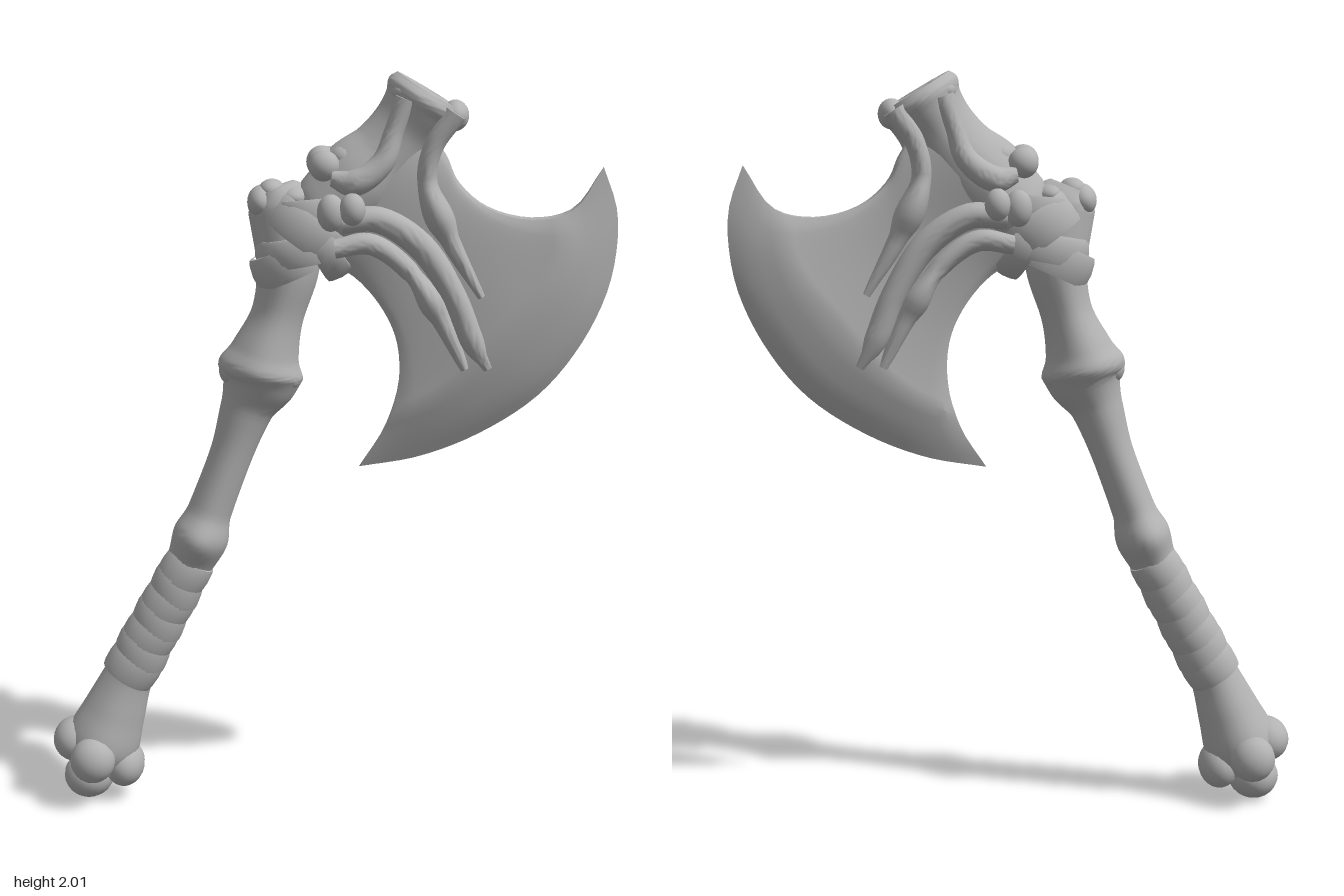
import * as THREE from 'three';
import { toCreasedNormals } from 'three/addons/utils/BufferGeometryUtils.js';

const bone = new THREE.MeshStandardMaterial({ color: 0xb2b2b2 });
bone.name = 'bone grey';

// Closed skin over a list of rings with equal point counts
function skin(rings, crease, caps = true) {
  const n = rings[0].length, pos = [], idx = [];
  rings.forEach(r => r.forEach(p => pos.push(...p)));
  for (let i = 0; i < rings.length - 1; i++) {
    for (let j = 0; j < n; j++) {
      const a = i * n + j, b = i * n + (j + 1) % n;
      idx.push(a, a + n, b, b, a + n, b + n);
    }
  }
  if (caps) [0, rings.length - 1].forEach((i, end) => {
    const c = pos.length / 3, m = [0, 0, 0];
    rings[i].forEach(p => p.forEach((v, k) => { m[k] += v / n; }));
    pos.push(...m);
    for (let j = 0; j < n; j++) {
      const a = i * n + j, b = i * n + (j + 1) % n;
      if (end) idx.push(c, b, a); else idx.push(c, a, b);
    }
  });
  const g = new THREE.BufferGeometry();
  g.setAttribute('position', new THREE.Float32BufferAttribute(pos, 3));
  g.setIndex(idx);
  return toCreasedNormals(g, crease);
}

// Smooth limb through sections [x, y, half width, half depth, z]
function limb(sections, steps = 40, lobes = 0) {
  const mid = new THREE.CatmullRomCurve3(sections.map(s => new THREE.Vector3(s[0], s[1], s[4] || 0)));
  const size = new THREE.CatmullRomCurve3(sections.map(s => new THREE.Vector3(s[2], s[3], 0)));
  const rings = [];
  for (let i = 0; i <= steps; i++) {
    const c = mid.getPoint(i / steps), t = mid.getTangent(i / steps), r = size.getPoint(i / steps);
    const l = Math.hypot(t.x, t.y), nx = t.y / l, ny = -t.x / l;
    rings.push(Array.from({ length: 24 }, (_, j) => {
      const q = j / 24 * Math.PI * 2, k = 1 + lobes * Math.cos(4 * q);
      const a = Math.cos(q) * r.x * k;
      return [c.x + nx * a, c.y + ny * a, c.z + Math.sin(q) * r.y * k];
    }));
  }
  return skin(rings, 0.9);
}

// Flat strap wound round the bone; tilt turns it in the front plane
function strap(x, y, a, b, width, tilt) {
  const h = width / 2;
  const pts = [[0.86, -h], [0.97, -h], [1, -h * 0.7], [1.02, 0], [0.98, h * 0.75], [0.93, h], [0.84, h]];
  const g = new THREE.LatheGeometry(pts.map(p => new THREE.Vector2(...p)), 28);
  g.scale(a, 1, b).rotateZ(tilt).translate(x, y, 0);
  return toCreasedNormals(g, 0.7);
}

function knob(x, y, z, rx, ry = rx, rz = rx) {
  return new THREE.SphereGeometry(1, 20, 14).scale(rx, ry, rz).translate(x, y, z);
}

const curve = pts => new THREE.CatmullRomCurve3(pts.map(p => new THREE.Vector3(p[0], p[1], 0)));

// Blade patch spanned between notch, belly, root and cutting edge
function blade() {
  const top = curve([[0.27, 1.86], [0.315, 1.8], [0.345, 1.735], [0.42, 1.67], [0.54, 1.64], [0.645, 1.665], [0.72, 1.775]]);
  const low = curve([[0.0, 1.53], [0.08, 1.485], [0.15, 1.405], [0.19, 1.315], [0.195, 1.2], [0.16, 1.08], [0.09, 0.97]]);
  const root = curve([[0.27, 1.86], [0.13, 1.7], [0.0, 1.53]]);
  const edge = curve([[0.72, 1.775], [0.757, 1.67], [0.762, 1.58], [0.74, 1.45], [0.67, 1.3], [0.565, 1.17], [0.41, 1.065], [0.25, 1.0], [0.09, 0.97]]);
  const [c0, c1, c2, c3] = [top.getPoint(0), top.getPoint(1), low.getPoint(0), low.getPoint(1)];
  const N = 32, inner = 20, outer = 5, rings = [];
  for (let i = 0; i <= inner + outer; i++) {
    const row = [];
    for (let j = 0; j <= N; j++) {
      const t = j / N, hump = Math.sin(Math.PI * t), ridge = 0.78 - 0.17 * hump;
      const k = Math.min(1, i / inner), e = Math.max(0, (i - inner) / outer);
      const s = ridge * k + (1 - ridge) * e;
      const T = top.getPoint(s), B = low.getPoint(s), L = root.getPoint(t), E = edge.getPointAt(t);
      const at = d => (1 - t) * T[d] + t * B[d] + (1 - s) * L[d] + s * E[d]
        - (1 - s) * ((1 - t) * c0[d] + t * c2[d]) - s * ((1 - t) * c1[d] + t * c3[d]);
      const body = 0.085 * (1 - k) + 0.07 * k - 0.03 * Math.sin(Math.PI * k);
      const z = (0.028 + (body - 0.028) * Math.sqrt(Math.max(0, hump))) * (1 - e);
      row.push([at('x'), at('y'), z]);
    }
    rings.push([...row.slice().reverse(), ...row.map(([x, y, z]) => [x, y, -z])]);
  }
  return skin(rings, 0.45, false);
}

export function createModel() {
  const model = new THREE.Group();
  const part = name => {
    const g = new THREE.Group();
    g.name = name;
    model.add(g);
    return geo => {
      const m = new THREE.Mesh(geo, bone);
      m.name = name;
      g.add(m);
    };
  };

  // Long handle bone with swollen joints
  part('handleBone')(limb([
    [-0.65, 0.1, 0.08, 0.08], [-0.625, 0.17, 0.1, 0.1], [-0.59, 0.26, 0.085, 0.08],
    [-0.545, 0.37, 0.066, 0.06], [-0.45, 0.55, 0.06, 0.058], [-0.375, 0.69, 0.062, 0.062],
    [-0.34, 0.77, 0.074, 0.095], [-0.315, 0.84, 0.058, 0.066], [-0.255, 1.0, 0.056, 0.056],
    [-0.21, 1.13, 0.07, 0.062], [-0.18, 1.2, 0.1, 0.09], [-0.172, 1.235, 0.112, 0.112],
    [-0.16, 1.28, 0.09, 0.1], [-0.125, 1.39, 0.068, 0.078], [-0.1, 1.5, 0.08, 0.085],
    [-0.1, 1.6, 0.09, 0.085], [-0.12, 1.68, 0.085, 0.075], [-0.135, 1.715, 0.055, 0.055]
  ], 110, 0.03));

  // Knuckles on the joints
  const knuckle = part('jointKnuckle');
  knuckle(knob(-0.25, 1.235, 0, 0.035, 0.045, 0.055));
  knuckle(knob(-0.095, 1.215, 0, 0.033, 0.035, 0.06));
  knuckle(knob(-0.385, 0.775, 0, 0.026, 0.035, 0.045));
  knuckle(knob(-0.295, 0.755, 0, 0.022, 0.028, 0.045));

  // Lobed pommel
  const pommel = part('pommelLobe');
  pommel(knob(-0.7, 0.175, 0, 0.063, 0.062, 0.075));
  pommel(knob(-0.665, 0.07, 0, 0.07, 0.065, 0.075));
  pommel(knob(-0.565, 0.105, 0, 0.056, 0.065, 0.075));
  for (const s of [1, -1]) pommel(knob(-0.64, 0.145, s * 0.088, 0.062, 0.064, 0.057));

  // Grip wrapping
  const grip = part('gripWrap');
  for (let i = 0; i < 7; i++) {
    const f = i / 6;
    grip(strap(-0.53 + 0.145 * f, 0.4 + 0.27 * f, 0.076 - 0.007 * f, 0.073 - 0.003 * f,
      0.085, -0.46 + (i % 2 ? 0.13 : -0.1)));
  }

  // Straps lashing the head to the handle
  const lash = part('headLashing');
  lash(strap(-0.085, 1.53, 0.115, 0.105, 0.085, 0.42));
  lash(strap(-0.06, 1.56, 0.125, 0.115, 0.075, 0.18));
  lash(strap(-0.045, 1.615, 0.125, 0.122, 0.09, -0.62));
  lash(strap(-0.04, 1.655, 0.11, 0.11, 0.08, 0.1));
  lash(strap(0.0, 1.575, 0.1, 0.11, 0.07, -1.1));

  // Bone tip above the lashing
  const tip = part('handleTip');
  tip(knob(-0.165, 1.68, 0, 0.04, 0.045, 0.07));
  tip(knob(-0.14, 1.71, 0, 0.035, 0.03, 0.05));
  tip(knob(-0.08, 1.695, 0, 0.045, 0.032, 0.075));

  part('blade')(blade());

  // Head bone flaring into a flat cap
  part('headBone')(limb([
    [-0.03, 1.6, 0.07, 0.08], [0.02, 1.655, 0.11, 0.105], [0.09, 1.73, 0.115, 0.105],
    [0.16, 1.8, 0.1, 0.085], [0.205, 1.86, 0.092, 0.08], [0.245, 1.915, 0.1, 0.095],
    [0.262, 1.943, 0.11, 0.104], [0.274, 1.963, 0.1, 0.088]
  ], 40, 0.04));
  const cap = part('headCapKnob');
  cap(knob(0.205, 1.965, 0, 0.042, 0.035, 0.075));
  cap(knob(0.335, 1.905, 0, 0.036, 0.04, 0.07));

  // Lumps at the back of the head
  const lump = part('headLump');
  lump(knob(-0.01, 1.785, 0, 0.04, 0.042, 0.06));
  lump(knob(0.055, 1.795, 0, 0.05, 0.04, 0.07));

  // Mirrored ribs and side lumps
  const rib = part('bladeRib'), side = part('sideLump');
  for (const s of [1, -1]) {
    rib(limb([[0.05, 1.64, 0.03, 0.04, s * 0.1], [0.14, 1.645, 0.034, 0.04, s * 0.088],
      [0.25, 1.575, 0.036, 0.042, s * 0.068], [0.34, 1.44, 0.032, 0.04, s * 0.058],
      [0.385, 1.33, 0.032, 0.034, s * 0.056], [0.43, 1.25, 0.012, 0.01, s * 0.055]], 30));
    rib(limb([[0.03, 1.57, 0.025, 0.03, s * 0.095], [0.12, 1.58, 0.028, 0.035, s * 0.075],
      [0.22, 1.51, 0.026, 0.036, s * 0.062], [0.3, 1.39, 0.026, 0.036, s * 0.055],
      [0.37, 1.25, 0.014, 0.02, s * 0.05]], 30));
    rib(limb([[0.335, 1.915, 0.03, 0.03, s * 0.07], [0.28, 1.83, 0.026, 0.03, s * 0.066],
      [0.265, 1.74, 0.026, 0.034, s * 0.06], [0.32, 1.6, 0.026, 0.034, s * 0.054],
      [0.41, 1.44, 0.01, 0.012, s * 0.052]], 30));
    rib(limb([[0.21, 1.95, 0.03, 0.03, s * 0.07], [0.18, 1.87, 0.026, 0.035, s * 0.07],
      [0.15, 1.79, 0.03, 0.035, s * 0.09], [0.08, 1.74, 0.034, 0.034, s * 0.105],
      [0.02, 1.75, 0.02, 0.025, s * 0.09]], 30));
    side(knob(0.075, 1.675, s * 0.128, 0.034, 0.042, 0.038));
    side(knob(0.02, 1.665, s * 0.12, 0.036, 0.048, 0.036));
    side(knob(0.0, 1.78, s * 0.07, 0.04, 0.04, 0.04));
  }
  return model;
}
